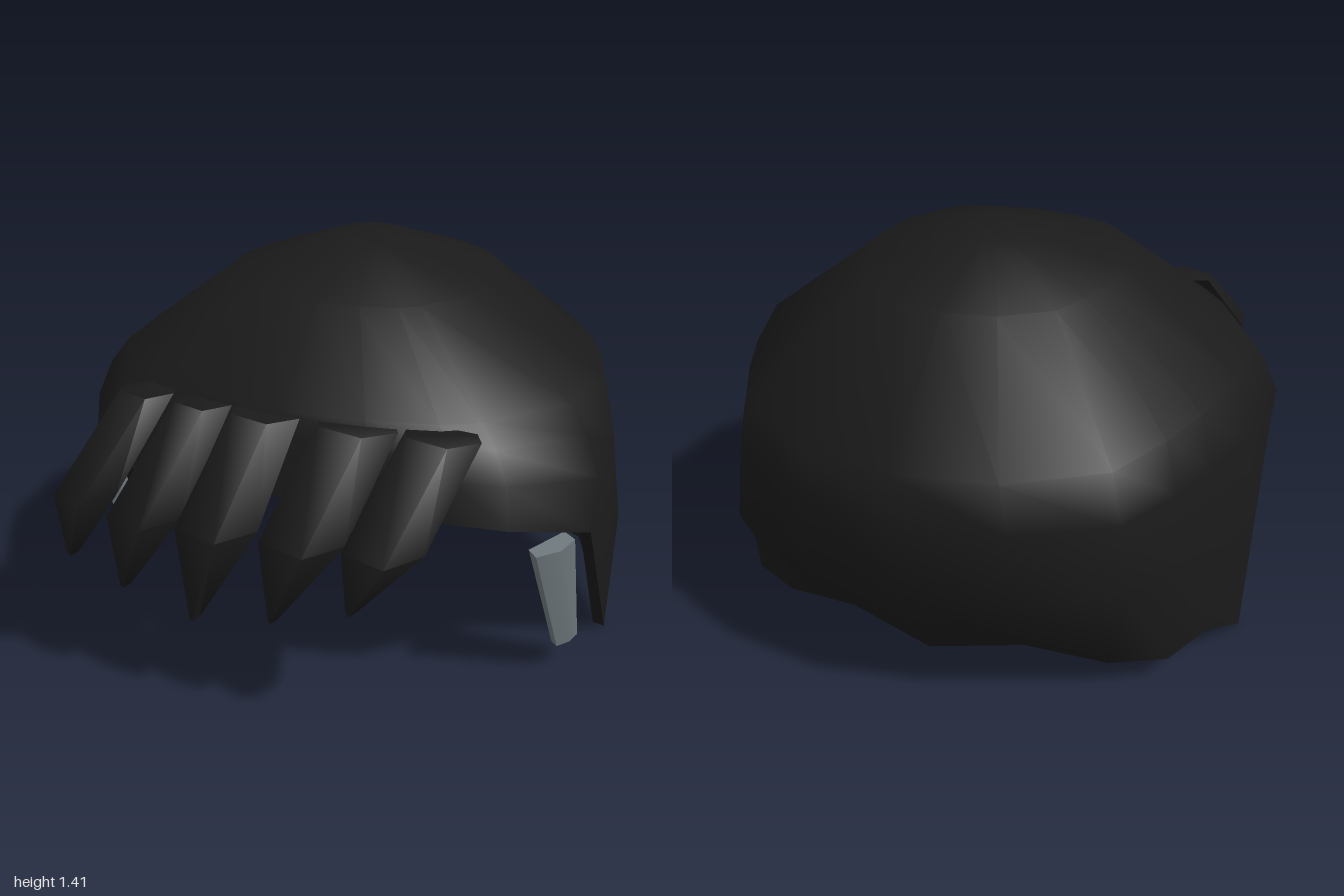
import * as THREE from 'three';
import { toCreasedNormals } from 'three/addons/utils/BufferGeometryUtils.js';

// Skin closed cross-sections (counter-clockwise seen from above, listed top to bottom) and cap both ends
function loft(rows, crease) {
  const n = rows[0].length, last = (rows.length - 1) * n;
  const pos = rows.flat(2), index = [];
  for (let r = 0; r < rows.length - 1; r++) {
    for (let j = 0; j < n; j++) {
      const a = r * n + j, b = r * n + (j + 1) % n;
      index.push(a, a + n, b + n, a, b + n, b);
    }
  }
  const centre = (row) => [0, 1, 2].map((k) => row.reduce((s, p) => s + p[k], 0) / n);
  const top = rows.length * n;
  pos.push(...centre(rows[0]), ...centre(rows[rows.length - 1]));
  for (let j = 0; j < n; j++) {
    const k = (j + 1) % n;
    index.push(top, j, k, top + 1, last + k, last + j);
  }
  const g = new THREE.BufferGeometry();
  g.setAttribute('position', new THREE.Float32BufferAttribute(pos, 3));
  g.setIndex(index);
  return toCreasedNormals(g, crease);
}

const lerp = THREE.MathUtils.lerp;
const mirrorRow = (row) => row.map(([x, y, z]) => [-x, y, z]).reverse();

// Half outlines from the front centre round to the back centre
const WIDEST = [[0, 0.69], [0.3, 0.68], [0.57, 0.645], [0.72, 0.58], [0.945, 0.25], [0.96, -0.1],
  [0.885, -0.37], [0.81, -0.55], [0.69, -0.77], [0.36, -0.945], [0, -1]];
const HEM = [[0, 0.77, 0.71], [0.3, 0.77, 0.7], [0.56, 0.76, 0.67], [0.74, 0.74, 0.61], [0.93, 0.59, 0.26],
  [0.945, 0, -0.1], [0.865, 0.11, -0.33], [0.78, 0.115, -0.53], [0.6, 0.115, -0.62], [0.32, 0.15, -0.67], [0, 0.115, -0.75]];
// How far the dome is rounded off at each front corner column
const ROUNDING = [0, 0.02, 0.05, 0.07, 0.04, 0, 0, 0, 0, 0, 0];
const CZ = -0.155;

function capGeometry() {
  const close = (half) => [...half, ...mirrorRow(half.slice(1, -1))];
  // Dome rings: height, x scale, z scale, z centre, rise toward the front
  const dome = [[1.415, 0.125, 0.154, -0.11, 0], [1.305, 0.48, 0.556, -0.1, 0.015], [1.0, 0.905, 0.965, -0.165, 0.07]].map(
    ([y, sx, sz, cz, tilt]) => WIDEST.map(([x, z], i) => {
      const k = 1 - ROUNDING[i];
      return [x * sx * k, y + tilt * z, cz + (z - CZ) * sz * k];
    }));
  // Sides: from the lowest dome ring through the widest outline to the hem
  const sides = [[0.22, 0.55], [0.53, 1]].map(([drop, spread]) => dome[2].map(([x, y, z], i) =>
    [lerp(x, WIDEST[i][0], spread), lerp(y, HEM[i][1], drop), lerp(z, WIDEST[i][1], spread)]));
  const outer = [...dome, ...sides, HEM].map(close);
  // Inner lining, from the hem back up to the crown
  const inner = outer.map((row, r) => row.map(([x, y, z]) =>
    [x * 0.955, r < 3 ? y - 0.045 : y + 0.005, CZ + (z - CZ) * 0.955])).reverse();
  return loft([...outer, ...inner], 1.0);
}

// Strand cross-section in unit width and depth
const SECTION = [[0, 0.25], [0.06, 0.78], [0.66, 1], [1, 0.45], [0.88, 0.05], [0.42, 0]];
const section = (x0, x1, y, z0, z1) => SECTION.map(([u, v]) => [lerp(x0, x1, u), y, lerp(z0, z1, v)]);

// Fringe strands: top left, top right, top back z, bend left, bend right, bend height, tip left, tip y
const STRANDS = [
  [-0.6, -0.41, 0.56, -0.7, -0.5, 0.76, -0.7, 0.51],
  [-0.39, -0.19, 0.575, -0.51, -0.265, 0.72, -0.505, 0.43],
  [-0.18, 0.055, 0.59, -0.265, 0.005, 0.73, -0.25, 0.36],
  [0.11, 0.38, 0.575, 0.025, 0.3, 0.74, 0.035, 0.42],
  [0.39, 0.64, 0.55, 0.3, 0.555, 0.76, 0.305, 0.51],
];

// Sideburn on the +x side: slanted, tapering toward the bottom
const SIDEBURN = [
  [[0.77, 0.6, 0.46], [0.805, 0.6, 0.5], [0.87, 0.6, 0.43], [0.895, 0.6, 0.34], [0.85, 0.6, 0.3]],
  [[0.82, 0.115, 0.235], [0.845, 0.115, 0.26], [0.88, 0.115, 0.215], [0.895, 0.115, 0.16], [0.865, 0.115, 0.14]],
];

export function createModel() {
  const model = new THREE.Group();
  model.name = 'hairpiece';
  const black = new THREE.MeshStandardMaterial({ color: 0x1a1a1a });
  black.name = 'black hair';
  const grey = new THREE.MeshStandardMaterial({ color: 0x70797d });
  grey.name = 'grey hair';
  const add = (name, geometry, material) => {
    const mesh = new THREE.Mesh(geometry, material);
    mesh.name = name;
    model.add(mesh);
  };

  add('hairCap', capGeometry(), black);

  // Fringe: each strand leans out, bends and narrows to a blunt tip
  STRANDS.forEach(([a, b, z, c, d, bend, tip, y], i) => add(`fringeStrand${i + 1}`, loft([
    section(a, b, 1.03, z, z + 0.14),
    section(c, d, bend, 0.78, 1.0),
    section(tip, tip + 0.03, y, 0.85, 0.91),
  ], 1.15), black));

  add('leftSideburn', loft(SIDEBURN, 1.15), grey);
  add('rightSideburn', loft(SIDEBURN.map(mirrorRow), 1.15), grey);
  return model;
}
